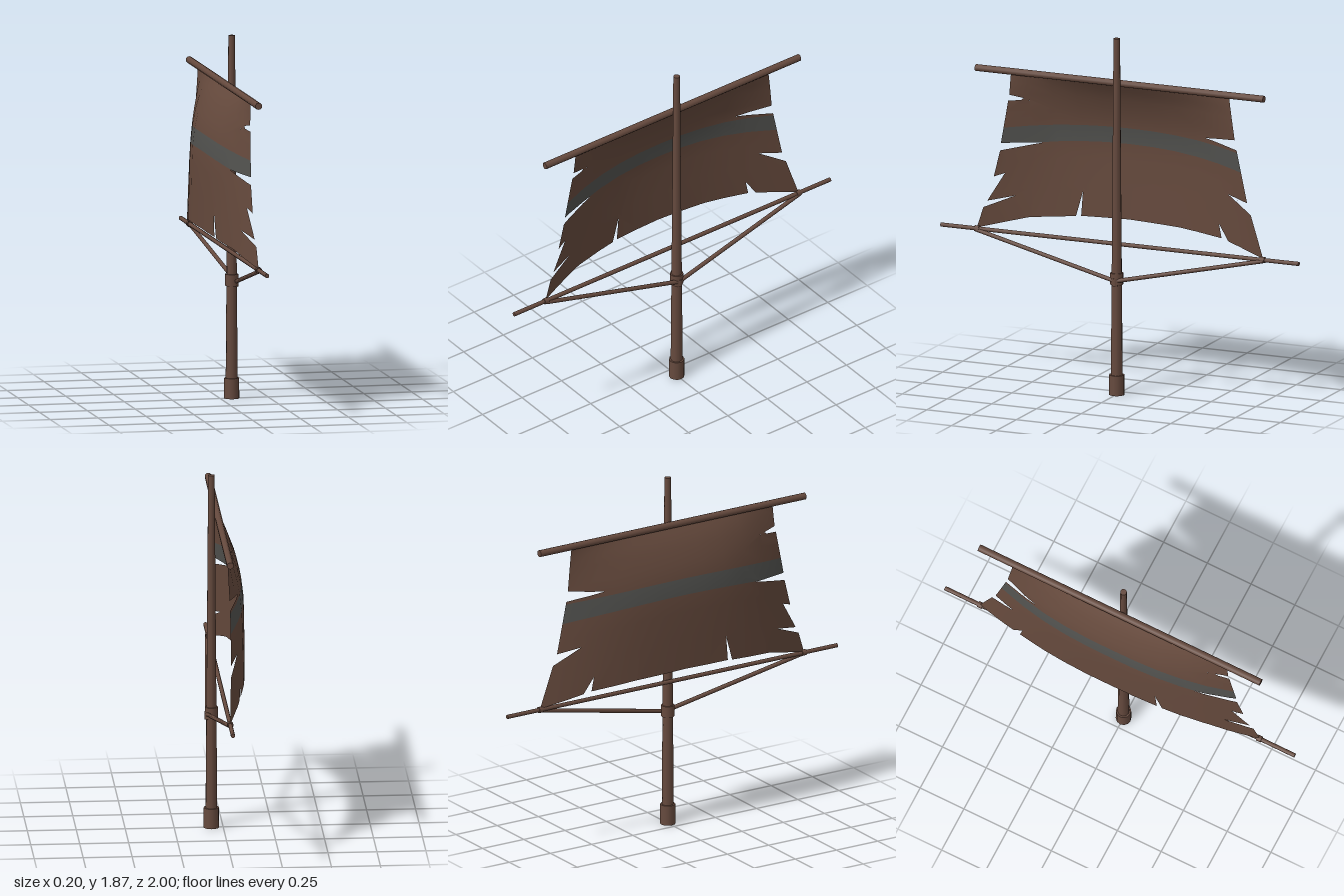
import * as THREE from 'three';
import { mergeVertices } from 'three/addons/utils/BufferGeometryUtils.js';

const material = (name, color, side = THREE.FrontSide) => {
  const m = new THREE.MeshStandardMaterial({ color, side });
  m.name = name;
  return m;
};

// Tattered outline of the sail as [z, y], following its edge all the way round
const OUTLINE = [
  [0.61, 1.61], [0.62, 1.5], [0.515, 1.48], [0.627, 1.468], [0.67, 1.24], [0.46, 1.25],
  [0.675, 1.2], [0.71, 1.06], [0.655, 1.08], [0.745, 0.93], [0.61, 0.96], [0.765, 0.895],
  [0.8, 0.785], [0.54, 0.85], [0.295, 0.872], [0.257, 1.005], [0.267, 0.876], [0, 0.882],
  [-0.29, 0.872], [-0.535, 0.85], [-0.52, 0.925], [-0.577, 0.84], [-0.8, 0.785],
  [-0.727, 1.005], [-0.583, 1.09], [-0.705, 1.065], [-0.647, 1.337], [-0.45, 1.37],
  [-0.637, 1.39], [-0.61, 1.61],
];
// Cloth rows from the top: height at the middle and sag towards the edges
const ROWS = [[1.62, 0], [1.57, 0.02], [1.52, 0.04], [1.44, 0.07], [1.365, 0.1], [1.28, 0.13],
  [1.19, 0.14], [1.05, 0.14], [0.7, 0.14]];
const STRIPE_ROW = 4;
const COLUMNS = [-0.81, -0.74, -0.64, -0.52, -0.39, -0.26, -0.13, 0, 0.13, 0.26, 0.39, 0.52, 0.64, 0.74, 0.81];

// Depth of the wind-filled cloth
function billow(z, y) {
  const halfWidth = 0.61 + 0.19 * (1.61 - y) / 0.825;
  const u = Math.min(1, Math.abs(z) / halfWidth);
  const t = THREE.MathUtils.clamp((1.61 - y) / 0.5, 0, 1);
  return 0.02 - 0.12 * (1 - Math.pow(u, 2.4)) * (1 - Math.pow(1 - t, 3));
}

// Keep the part of a polygon on the left of the line a-b
function clip(poly, a, b) {
  const side = (p) => (b[0] - a[0]) * (p[1] - a[1]) - (b[1] - a[1]) * (p[0] - a[0]);
  const out = [];
  poly.forEach((p, i) => {
    const q = poly[(i + 1) % poly.length];
    const sp = side(p), sq = side(q);
    if (sp >= 0) out.push(p);
    if ((sp > 0 && sq < 0) || (sp < 0 && sq > 0)) {
      const k = sp / (sp - sq);
      out.push([p[0] + (q[0] - p[0]) * k, p[1] + (q[1] - p[1]) * k]);
    }
  });
  return out;
}

// Cut the outline into curved rows and columns, then push it into shape
function sailGeometry() {
  const positions = [];
  const geometry = new THREE.BufferGeometry();
  const rowY = (r, z) => ROWS[r][0] - ROWS[r][1] * z * z;
  for (let r = 0; r < ROWS.length - 1; r++) {
    const start = positions.length / 3;
    for (let c = 0; c < COLUMNS.length - 1; c++) {
      const [z0, z1] = [COLUMNS[c], COLUMNS[c + 1]];
      const cell = [[z0, rowY(r + 1, z0)], [z1, rowY(r + 1, z1)], [z1, rowY(r, z1)], [z0, rowY(r, z0)]];
      let poly = OUTLINE;
      cell.forEach((a, i) => { poly = clip(poly, a, cell[(i + 1) % 4]); });
      if (poly.length < 3) continue;
      const contour = poly.map(([z, y]) => new THREE.Vector2(z, y));
      for (const face of THREE.ShapeUtils.triangulateShape(contour, [])) {
        for (const i of face) {
          const { x: z, y } = contour[i];
          positions.push(billow(z, y), y, z);
        }
      }
    }
    geometry.addGroup(start, positions.length / 3 - start, r === STRIPE_ROW ? 1 : 0);
  }
  geometry.setAttribute('position', new THREE.Float32BufferAttribute(positions, 3));
  const merged = mergeVertices(geometry, 1e-4);
  merged.computeVertexNormals();
  return merged;
}

export function createModel() {
  const group = new THREE.Group();
  const wood = material('wood', 0x664a3e);
  const cloth = material('cloth', 0x664a3d, THREE.DoubleSide);
  const stripe = material('faded stripe', 0x52524f, THREE.DoubleSide);
  const slate = material('slate', 0x52595a);

  const add = (name, geometry, mat) => {
    const mesh = new THREE.Mesh(geometry, mat);
    mesh.name = name;
    group.add(mesh);
    return mesh;
  };
  // Round pole running from a to b
  const pole = (name, a, b, r0, r1 = r0, mat = wood, sides = 10) => {
    const from = new THREE.Vector3(...a), to = new THREE.Vector3(...b);
    const dir = to.clone().sub(from);
    const mesh = add(name, new THREE.CylinderGeometry(r1, r0, dir.length(), sides), mat);
    mesh.position.copy(from).add(to).multiplyScalar(0.5);
    mesh.quaternion.setFromUnitVectors(new THREE.Vector3(0, 1, 0), dir.normalize());
    return mesh;
  };

  // Mast with its foot and collar
  const mx = 0.06;
  pole('mast', [mx, 0.05, 0], [mx, 1.87, 0], 0.031, 0.017);
  pole('mastFoot', [mx, 0, 0], [mx, 0.105, 0], 0.04, 0.039, [wood, wood, slate], 12);
  pole('mastCollar', [mx, 0.58, 0], [mx, 0.64, 0], 0.034);

  // Yards carrying the sail
  pole('upperYard', [0.02, 1.625, -0.805], [0.02, 1.625, 0.805], 0.018);
  pole('lowerYard', [0.02, 0.78, -1], [0.02, 0.78, 1], 0.011);

  // Braces from the collar to the lower yard, with lashings at the ends
  for (const s of [1, -1]) {
    pole('brace', [0.082, 0.6, 0], [0.025, 0.775, 0.8 * s], 0.011);
    pole('lashing', [0.02, 0.78, 0.785 * s], [0.02, 0.78, 0.81 * s], 0.016);
  }
  pole('braceJoint', [0.08, 0.575, 0], [0.08, 0.615, 0], 0.016);

  add('sail', sailGeometry(), [cloth, stripe]);
  return group;
}
